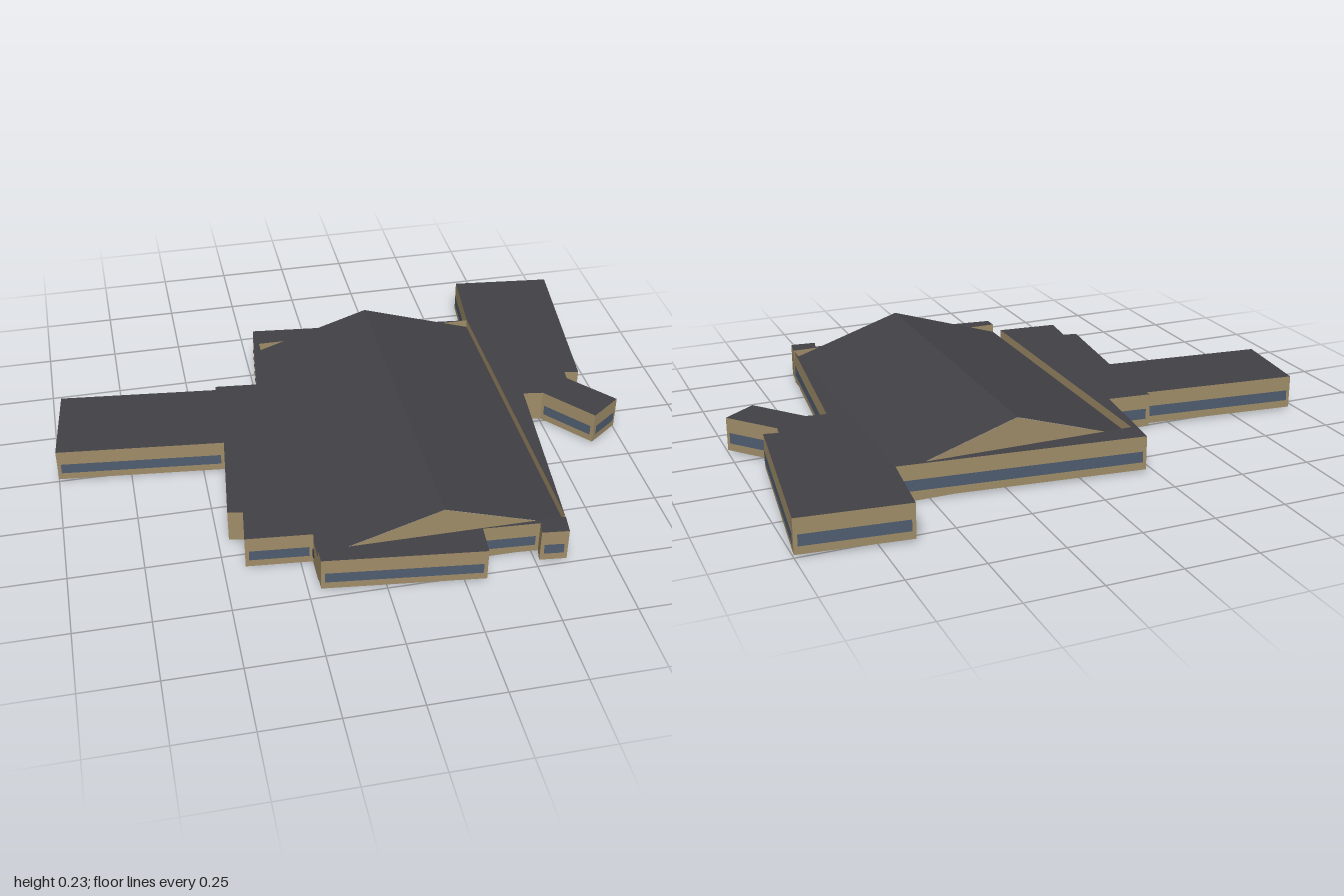
import * as THREE from 'three';

const mat = (name, color, side = THREE.FrontSide) => {
  const m = new THREE.MeshStandardMaterial({ color, side });
  m.name = name;
  return m;
};

export function createModel() {
  const model = new THREE.Group();
  const wallMat = mat('tan wall', 0xa08d69, THREE.DoubleSide);
  const roofMat = mat('charcoal roof', 0x424146, THREE.DoubleSide);
  const glassMat = mat('slate glass', 0x4f5d70);
  const darkMat = mat('dark opening', 0x343b46);

  const add = (parent, name, geo, material, x = 0, y = 0, z = 0, ry = 0) => {
    const mesh = new THREE.Mesh(geo, material);
    mesh.name = name;
    mesh.position.set(x, y, z);
    mesh.rotation.y = ry;
    parent.add(mesh);
    return mesh;
  };

  // Main hall extents
  const X0 = -0.21, X1 = 0.61, Z0 = -0.52, Z1 = 0.67;
  const mid = (X0 + X1) / 2, half = (X1 - X0) / 2, len = Z1 - Z0;
  const EAVE = 0.095, RIDGE = 0.226;
  const BASE = 0.01, TOP = 0.127;

  // Main hall: gable ends, side walls and pitched roof, open underneath
  const hall = new THREE.Group();
  hall.name = 'mainHall';
  model.add(hall);
  const gable = new THREE.Shape([
    [-half, 0], [half, 0], [half, EAVE], [0, RIDGE], [-half, EAVE],
  ].map(([x, y]) => new THREE.Vector2(x, y)));
  add(hall, 'frontGable', new THREE.ShapeGeometry(gable), wallMat, mid, 0, Z1);
  add(hall, 'backGable', new THREE.ShapeGeometry(gable), wallMat, mid, 0, Z0, Math.PI);
  const slope = Math.hypot(half, RIDGE - EAVE);
  for (const s of [-1, 1]) {
    add(hall, 'sideWall', new THREE.PlaneGeometry(len, EAVE), wallMat,
      mid + s * half, EAVE / 2, (Z0 + Z1) / 2, s * Math.PI / 2);
    const geo = new THREE.PlaneGeometry(slope, len).rotateX(-Math.PI / 2);
    geo.rotateZ(-s * Math.atan2(RIDGE - EAVE, half));
    add(hall, 'roofSlope', geo, roofMat, mid + s * half / 2, (EAVE + RIDGE) / 2 + 0.001, (Z0 + Z1) / 2);
    // Small square windows along each side and on both gables
    for (let i = 0; i < 7; i++) {
      add(hall, 'hallWindow', new THREE.BoxGeometry(0.006, 0.032, 0.035), darkMat,
        mid + s * half, 0.05, 0.585 - i * 0.17);
    }
    for (const z of [Z0, Z1]) {
      add(hall, 'gableWindow', new THREE.BoxGeometry(0.035, 0.032, 0.006), darkMat, mid + s * 0.26, 0.05, z);
    }
  }
  add(hall, 'door', new THREE.BoxGeometry(0.06, 0.065, 0.006), darkMat, mid, 0.04, Z1);

  // Flat-roofed wings around the hall, as plan outlines (x, z)
  const wings = {
    rightWing: [
      [-0.22, -0.61], [X1, Z0], [X0, Z0], [X0, 0.59], [-0.43, 0.57], [-0.415, 0.44],
      [-0.465, 0.43], [-0.425, 0.06], [-1, 0], [-0.965, -0.315], [-0.41, -0.255],
      [-0.41, -0.275], [-0.26, -0.26],
    ],
    frontWing: [
      [X0, Z1], [X1, Z1], [0.6, 0.74], [0.51, 0.73], [0.52, 0.685], [0.33, 0.673],
      [0.32, 0.78], [X0, 0.72],
    ],
    leftWing: [
      [X1, Z0], [0.64, -0.79], [1, -0.75], [0.92, -0.1], [0.87, -0.11], [0.865, -0.07],
      [1, 0.09], [0.89, 0.17], [0.75, 0], [0.68, -0.01], [X1, 0.66],
    ],
  };
  const near = (a, b) => Math.abs(a - b) < 1e-6;

  for (const [name, pts] of Object.entries(wings)) {
    const wing = new THREE.Group();
    wing.name = name;
    model.add(wing);
    const plan = new THREE.Shape(pts.map(([x, z]) => new THREE.Vector2(x, -z)));
    add(wing, 'flatRoof', new THREE.ShapeGeometry(plan).rotateX(-Math.PI / 2), roofMat, 0, TOP, 0);
    pts.forEach(([ax, az], i) => {
      const [bx, bz] = pts[(i + 1) % pts.length];
      const L = Math.hypot(bx - ax, bz - az);
      const nx = (bz - az) / L, nz = -(bx - ax) / L;
      const ry = Math.atan2(nx, nz), cx = (ax + bx) / 2, cz = (az + bz) / 2;
      add(wing, 'wall', new THREE.PlaneGeometry(L, TOP - BASE), wallMat, cx, (TOP + BASE) / 2, cz, ry);
      // Ribbon window on every long outside wall
      const againstHall = (near(ax, bx) && (near(ax, X0) || near(ax, X1)))
        || (near(az, bz) && (near(az, Z0) || near(az, Z1)));
      if (L > 0.085 && !againstHall) {
        add(wing, 'ribbonWindow', new THREE.PlaneGeometry(L - 0.025, 0.038), glassMat,
          cx + nx * 0.002, 0.056, cz + nz * 0.002, ry);
      }
    });
  }
  return model;
}
